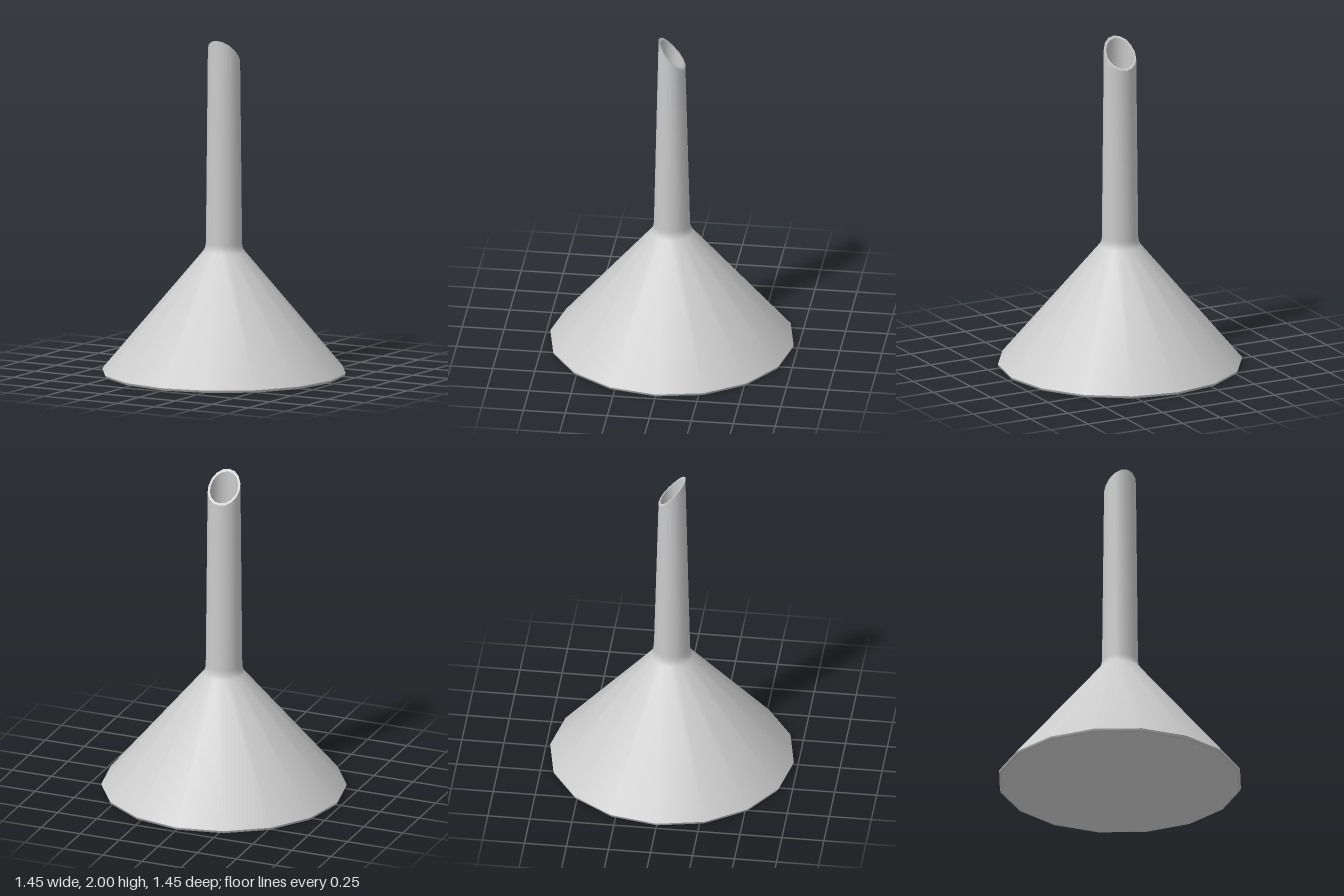
import * as THREE from 'three';

const SIDES = 16;
const TIP = 1.905; // profile height of the spout mouth before the slanted cut

const outerWall = [[0.725, 0.015], [0.125, 0.73], [0.113, 0.75], [0.108, 0.78], [0.1, TIP]];
const innerWall = [[0.086, TIP], [0.094, 0.78], [0.099, 0.745], [0.112, 0.715], [0.708, 0]];
const rim = [[0.708, 0], [0.72, 0], [0.725, 0.015]];
const lip = [[0.1, TIP], [0.086, TIP]];

// Turn a profile, then squeeze and slant its points at the spout mouth
function turned(name, profile, material) {
  const geometry = new THREE.LatheGeometry(profile.map(([r, y]) => new THREE.Vector2(r, y)), SIDES);
  const p = geometry.attributes.position;
  for (let i = 0; i < p.count; i++) {
    if (p.getY(i) < TIP - 0.001) continue;
    const z = p.getZ(i) * 0.8;
    p.setZ(i, z);
    p.setY(i, TIP + z * (z > 0 ? 1.19 : 1));
  }
  if (name === 'spoutLip') geometry.computeVertexNormals();
  const mesh = new THREE.Mesh(geometry, material);
  mesh.name = name;
  return mesh;
}

export function createModel() {
  const material = new THREE.MeshStandardMaterial({ color: 0xcccccc, side: THREE.DoubleSide });
  const funnel = new THREE.Group();
  funnel.name = 'funnel';
  funnel.add(
    turned('outerWall', outerWall, material),
    turned('innerWall', innerWall, material),
    turned('rim', rim, material),
    turned('spoutLip', lip, material),
  );
  return funnel;
}
